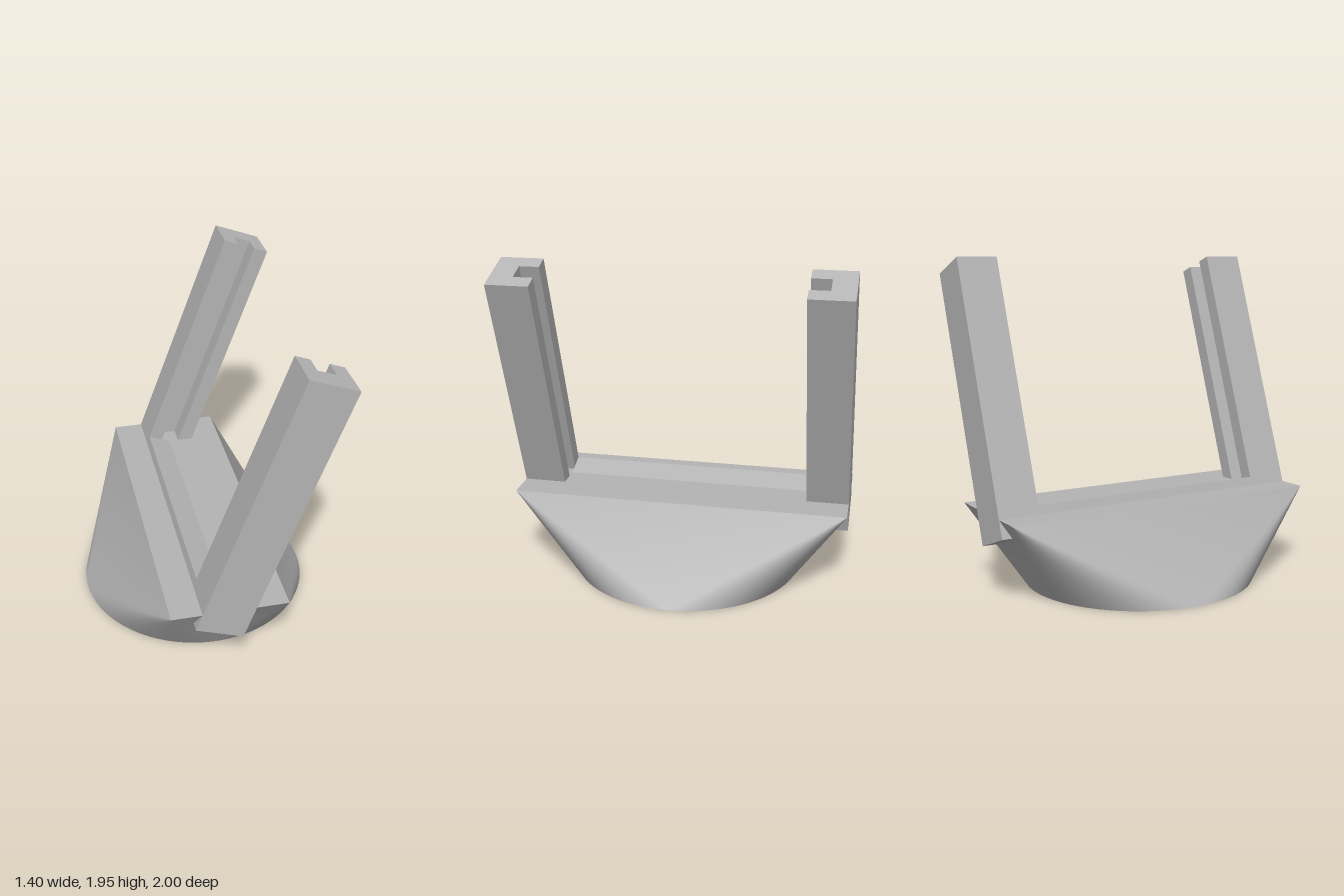
import * as THREE from 'three';
import { toCreasedNormals } from 'three/addons/utils/BufferGeometryUtils.js';

const TILT = THREE.MathUtils.degToRad(20);
const POST = { width: 0.293, length: 1.644, inner: 0.75, outer: 1 };
const GROOVE = { width: 0.112, floor: 0.865 };

// Solid lofted from a round foot to a rectangular top
function baseGeometry(radius, halfX, halfZ, height, steps = 24) {
  const points = [];
  const corner = [[1, 1], [-1, 1], [-1, -1], [1, -1]]
    .map(([x, z]) => new THREE.Vector3(x * halfX, height, z * halfZ));
  const rim = (i) => {
    const a = (i / steps) * Math.PI / 2;
    return new THREE.Vector3(Math.cos(a) * radius, 0, Math.sin(a) * radius);
  };
  const foot = new THREE.Vector3();
  const tri = (...v) => v.forEach((p) => points.push(p));
  for (let q = 0; q < 4; q++) {
    // corner cone and its slice of the foot
    for (let i = q * steps; i < (q + 1) * steps; i++) {
      tri(corner[q], rim(i + 1), rim(i));
      tri(foot, rim(i), rim(i + 1));
    }
    // flat triangle to the next corner
    tri(corner[q], corner[(q + 1) % 4], rim((q + 1) * steps));
  }
  tri(corner[0], corner[2], corner[1]);
  tri(corner[0], corner[3], corner[2]);
  const geometry = new THREE.BufferGeometry().setFromPoints(points);
  return toCreasedNormals(geometry, 0.45);
}

// Post with a groove along its inner face; side is +1 or -1 in z
function postGeometry(side) {
  const w = POST.width / 2, g = GROOVE.width / 2;
  const section = [
    [-w, POST.inner], [-g, POST.inner], [-g, GROOVE.floor], [g, GROOVE.floor],
    [g, POST.inner], [w, POST.inner], [w, POST.outer], [-w, POST.outer],
  ].map(([x, z]) => new THREE.Vector2(x, -side * z));
  return new THREE.ExtrudeGeometry(new THREE.Shape(section), {
    depth: POST.length, bevelEnabled: false,
  }).rotateX(-Math.PI / 2);
}

export function createModel() {
  const grey = new THREE.MeshStandardMaterial({ color: 0xb4b4b4 });
  grey.name = 'grey';
  const model = new THREE.Group();
  model.name = 'slottedStand';
  const add = (parent, name, geometry) => {
    const mesh = new THREE.Mesh(geometry, grey);
    mesh.name = name;
    parent.add(mesh);
    return mesh;
  };

  add(model, 'base', baseGeometry(0.7, 0.34, 1, 0.51));

  // Leaning frame: two grooved posts joined by a sill
  const frame = new THREE.Group();
  frame.name = 'leaningFrame';
  frame.position.set(-0.061, 0.355, 0);
  frame.rotation.z = -TILT;
  model.add(frame);
  add(frame, 'frontPost', postGeometry(1));
  add(frame, 'backPost', postGeometry(-1));
  add(frame, 'sill', new THREE.BoxGeometry(POST.width, 0.165, POST.inner * 2))
    .position.y = 0.0825;

  return model;
}
